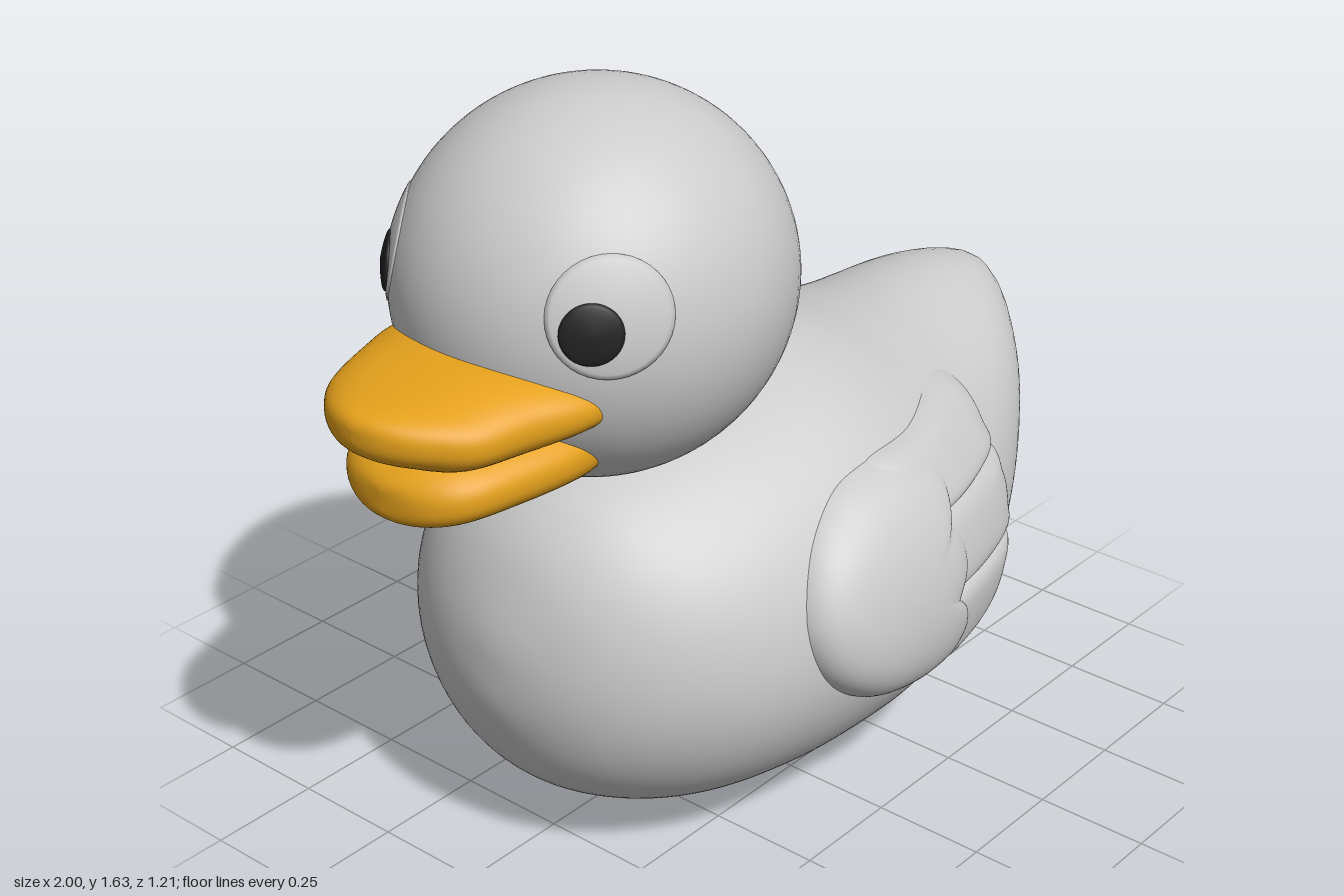
import * as THREE from 'three';

const grey = new THREE.MeshStandardMaterial({ color: 0xcccccc });
const shell = new THREE.MeshStandardMaterial({ color: 0xcccccc, side: THREE.DoubleSide });
const orange = new THREE.MeshStandardMaterial({ color: 0xe5a11c });
const black = new THREE.MeshStandardMaterial({ color: 0x222222 });

// Smooth surface from a grid of points; columns close into a loop.
function gridSurface(rows, cols, point) {
  const pos = [], index = [];
  for (let i = 0; i <= rows; i++)
    for (let j = 0; j < cols; j++) pos.push(...point(i / rows, j / cols, j));
  for (let i = 0; i < rows; i++)
    for (let j = 0; j < cols; j++) {
      const a = i * cols + j, b = i * cols + (j + 1) % cols;
      index.push(a, b, a + cols, b, b + cols, a + cols);
    }
  const geo = new THREE.BufferGeometry();
  geo.setAttribute('position', new THREE.Float32BufferAttribute(pos, 3));
  geo.setIndex(index);
  geo.computeVertexNormals();
  return geo;
}

// Interpolates rows of [x, top, bottom, halfWidth]; arc spacing rounds the ends.
function sections(keys, mid, half) {
  const arc = x => Math.asin(THREE.MathUtils.clamp((x - mid) / half, -1, 1));
  const us = keys.map(k => arc(k[0])), n = keys.length;
  const slope = (k, c) => {
    const a = Math.max(k - 1, 0), b = Math.min(k + 1, n - 1);
    return (keys[b][c] - keys[a][c]) / (us[b] - us[a]);
  };
  return x => {
    const u = arc(x);
    let k = 0;
    while (k < n - 2 && u > us[k + 1]) k++;
    const d = us[k + 1] - us[k], t = (u - us[k]) / d, t2 = t * t, t3 = t2 * t;
    return [1, 2, 3].map(c =>
      keys[k][c] * (2 * t3 - 3 * t2 + 1) + keys[k + 1][c] * (3 * t2 - 2 * t3) +
      d * (slope(k, c) * (t3 - 2 * t2 + t) + slope(k + 1, c) * (t3 - t2)));
  };
}

const bodySection = sections([
  [-0.68, 0.5, 0.44, 0], [-0.66, 0.61, 0.33, 0.14], [-0.6, 0.745, 0.2, 0.27],
  [-0.5, 0.84, 0.11, 0.38], [-0.35, 0.9, 0.045, 0.47], [-0.15, 0.955, 0.01, 0.525],
  [0.05, 0.99, 0, 0.545], [0.2, 0.975, 0.005, 0.535], [0.4, 0.92, 0.05, 0.485],
  [0.6, 0.885, 0.155, 0.4], [0.8, 0.89, 0.35, 0.28], [0.9, 0.877, 0.5, 0.19],
  [0.97, 0.85, 0.64, 0.1], [1, 0.81, 0.74, 0],
], 0.16, 0.84);

// Half width of the body at a point of its side profile, or -1 outside it.
function bodyZ(x, y) {
  if (x < -0.68 || x > 1) return -1;
  const [top, bottom, width] = bodySection(x);
  const c = bottom + 0.48 * (top - bottom);
  const t = (y - c) / (y > c ? top - c : c - bottom);
  return Math.abs(t) > 1 ? -1 : width * Math.sqrt(1 - t * t);
}

// Body skin: rays from the centre, starting at the rim of the bottom hole.
const HOLE = { x: 0.05, r: 0.085 };
function bodyGeometry() {
  const cy = 0.5, start = Math.atan(HOLE.r / cy);
  return gridSurface(110, 180, (s, f) => {
    const th = start + (Math.PI - start) * s, ph = f * Math.PI * 2;
    const d = [Math.sin(th) * Math.cos(ph), -Math.cos(th), -Math.sin(th) * Math.sin(ph)];
    let lo = 0, hi = 1.3;
    for (let k = 0; k < 24; k++) {
      const r = (lo + hi) / 2;
      if (bodyZ(HOLE.x + d[0] * r, cy + d[1] * r) >= Math.abs(d[2] * r)) lo = r; else hi = r;
    }
    return [HOLE.x + d[0] * lo, cy + d[1] * lo, d[2] * lo];
  });
}

// Raised pad that follows the body; its outline is a chain of splines, clockwise.
function padGeometry(lobes, height, side) {
  const path = new THREE.Path();
  path.moveTo(...lobes[0][0]);
  for (const lobe of lobes) path.splineThru(lobe.slice(1).map(p => new THREE.Vector2(...p)));
  const outline = path.getSpacedPoints(120).slice(0, -1);
  if (side < 0) outline.reverse();
  const mid = new THREE.Box2().setFromPoints(outline).getCenter(new THREE.Vector2());
  return gridSurface(24, outline.length, (t, f, j) => {
    const s = Math.sin(t * Math.PI / 2);
    const x = mid.x + (outline[j].x - mid.x) * s, y = mid.y + (outline[j].y - mid.y) * s;
    const lift = (height + 0.02) * Math.sqrt(Math.max(0, 1 - s ** 6)) - 0.02;
    return [x, y, side * (Math.max(bodyZ(x, y), 0) + lift)];
  });
}

const covert = [
  [[0.17, 0.315], [0.05, 0.3], [-0.1, 0.335], [-0.22, 0.43], [-0.26, 0.56], [-0.21, 0.69],
    [-0.1, 0.78], [0.02, 0.81], [0.14, 0.805], [0.205, 0.775], [0.2, 0.72], [0.165, 0.67]],
  [[0.165, 0.67], [0.205, 0.62], [0.21, 0.55], [0.165, 0.48]],
  [[0.165, 0.48], [0.21, 0.43], [0.215, 0.37], [0.17, 0.315]],
];
const feathers = [
  [[0, 0.66], [0, 0.8], [0.2, 0.815], [0.42, 0.825], [0.5, 0.79], [0.5, 0.72], [0.45, 0.665], [0, 0.66]],
  [[0, 0.49], [0, 0.67], [0.45, 0.675], [0.505, 0.62], [0.5, 0.55], [0.45, 0.49], [0, 0.49]],
  [[0, 0.34], [0, 0.49], [0.45, 0.5], [0.475, 0.43], [0.44, 0.36], [0.35, 0.32], [0.15, 0.305], [0, 0.34]],
];

// Half of the bill, from its tip back into the head.
function billGeometry(keys) {
  const tip = keys[0][0], back = keys[keys.length - 1][0], at = sections(keys, back, back - tip);
  const round = v => Math.sign(v) * Math.abs(v) ** 0.85;
  return gridSurface(36, 64, (s, f) => {
    const x = back - (back - tip) * Math.cos(s * Math.PI / 2), a = f * Math.PI * 2;
    const [top, bottom, width] = at(x);
    return [x, (top + bottom) / 2 + (top - bottom) / 2 * round(Math.cos(a)), width * round(Math.sin(a))];
  });
}

// Thin round cap on a unit sphere, facing a given direction.
function capGeometry(angle, lift, dir) {
  const pts = [new THREE.Vector2(Math.sin(angle) * 0.98, Math.cos(angle) * 0.98)];
  for (let i = 0; i <= 12; i++) {
    const t = angle * (1 - i / 12), r = 1 + lift * (0.4 + 0.6 * Math.sqrt(i / 12));
    pts.push(new THREE.Vector2(Math.sin(t) * r, Math.cos(t) * r));
  }
  const up = new THREE.Vector3(0, 1, 0), to = new THREE.Vector3(...dir).normalize();
  return new THREE.LatheGeometry(pts, 40)
    .applyQuaternion(new THREE.Quaternion().setFromUnitVectors(up, to));
}

export function createModel() {
  const model = new THREE.Group();
  const add = (name, geo, mat, parent = model) => {
    const mesh = new THREE.Mesh(geo, mat);
    mesh.name = name;
    parent.add(mesh);
    return mesh;
  };

  // Hollow body with a short sleeve in the bottom hole
  add('body', bodyGeometry(), shell);
  add('holeSleeve', new THREE.CylinderGeometry(HOLE.r, HOLE.r, 0.04, 40, 1, true), shell)
    .position.set(HOLE.x, 0.028, 0);

  // Head and eyes
  const head = new THREE.Group();
  head.name = 'head';
  head.position.set(-0.335, 1.23, 0);
  head.scale.set(0.42, 0.4, 0.4);
  model.add(head);
  add('skull', new THREE.SphereGeometry(1, 72, 48), grey, head);
  for (const side of [1, -1]) {
    const label = side > 0 ? 'left' : 'right';
    add(label + 'Eye', capGeometry(0.3, 0.012, [-0.655, 0.21, 0.725 * side]), shell, head);
    const pupil = add(label + 'Pupil', capGeometry(0.15, 0.035, [-0.726, 0.14, 0.673 * side]), black, head);
    pupil.material.side = THREE.DoubleSide;

    // Wing: three long feathers under a scalloped covert
    const wing = new THREE.Group();
    wing.name = label + 'Wing';
    model.add(wing);
    add('covert', padGeometry(covert, 0.06, side), grey, wing);
    feathers.forEach((f, i) => add('feather' + (i + 1), padGeometry([f], 0.04, side), grey, wing));
  }

  // Bill
  add('upperBill', billGeometry([
    [-1, 1.14, 1.12, 0], [-0.985, 1.165, 1.085, 0.07], [-0.93, 1.178, 1.055, 0.15],
    [-0.87, 1.185, 1.035, 0.2], [-0.76, 1.205, 1.03, 0.235], [-0.65, 1.2, 1.04, 0.27],
    [-0.55, 1.18, 1.05, 0.27],
  ]), orange);
  add('lowerBill', billGeometry([
    [-0.94, 0.99, 0.95, 0], [-0.925, 1.02, 0.925, 0.09], [-0.87, 1.05, 0.912, 0.16],
    [-0.75, 1.07, 0.91, 0.2], [-0.6, 1.08, 0.91, 0.22], [-0.5, 1.08, 0.91, 0.2],
  ]), orange);
  return model;
}
